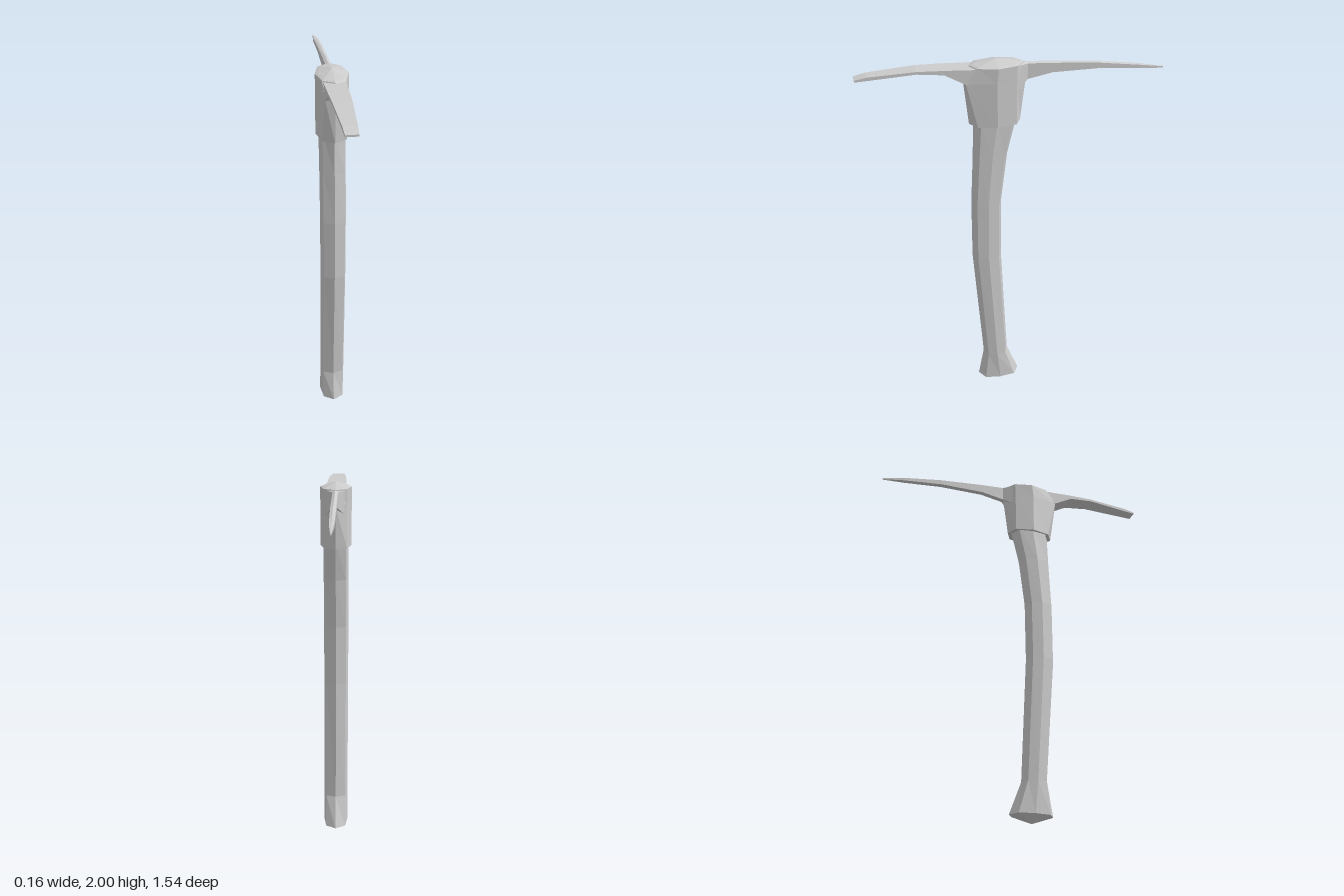
import * as THREE from 'three';

const material = new THREE.MeshStandardMaterial({ color: 0xcccccc, flatShading: true });

// Skins a list of equal-length rings of [x, y, z] points and closes both ends with fans.
function loft(name, rings, startTip, endTip) {
  const n = rings[0].length;
  const pos = [];
  const tri = (...pts) => pts.forEach((p) => pos.push(...p));
  const centre = (ring) => [0, 1, 2].map((k) => ring.reduce((s, p) => s + p[k], 0) / n);
  const first = rings[0];
  const last = rings[rings.length - 1];
  const a = startTip || centre(first);
  const b = endTip || centre(last);
  for (let i = 0; i < n; i++) {
    const j = (i + 1) % n;
    tri(a, first[j], first[i]);
    for (let r = 0; r + 1 < rings.length; r++) {
      const lo = rings[r];
      const hi = rings[r + 1];
      tri(lo[i], lo[j], hi[i]);
      tri(lo[j], hi[j], hi[i]);
    }
    tri(b, last[i], last[j]);
  }
  const geometry = new THREE.BufferGeometry();
  geometry.setAttribute('position', new THREE.Float32BufferAttribute(pos, 3));
  geometry.computeVertexNormals();
  const mesh = new THREE.Mesh(geometry, material);
  mesh.name = name;
  return mesh;
}

// Horizontal ring from front-to-back [x, z] points of the +x half, mirrored to -x.
function levelRing(y, half) {
  const left = half.map(([x, z]) => [x, y, z]);
  const right = half.slice(1).reverse().map(([x, z]) => [-x, y, z]);
  return [...left, ...right];
}

// Upright five-point section with a slight ridge along the top.
function bladeRing(z, bottom, top, w, ridge = 0) {
  return [[w, bottom, z], [w, top - ridge, z], [0, top, z], [-w, top - ridge, z], [-w, bottom, z]];
}

export function createModel() {
  const model = new THREE.Group();
  model.name = 'pickaxe';

  // Curved eight-sided handle: height, front z, back z
  const handleRings = [
    [0.04, 0.215, -0.02],
    [0.21, 0.183, 0.045],
    [0.89, 0.232, 0.075],
    [1.22, 0.23, 0.07],
    [1.49, 0.216, 0.036],
    [1.7, 0.208, -0.015],
  ].map(([y, front, back]) => {
    const c = (front + back) / 2;
    const h = (front - back) / 2;
    const half = [[0, front], [0.055, c + h * 0.72], [0.067, c], [0.055, c - h * 0.72], [0, back]];
    return levelRing(y, half);
  });
  model.add(loft('handle', handleRings, [0, 0, 0.1]));

  // Socket around the top of the handle, with a low pointed cap
  model.add(loft('headSocket', [
    levelRing(1.67, [[0, 0.23], [0.06, 0.195], [0.082, 0.1], [0.06, 0], [0, -0.03]]),
    levelRing(1.9, [[0, 0.25], [0.05, 0.248], [0.082, 0.1], [0.06, -0.002], [0, -0.06]]),
    levelRing(1.975, [[0, 0.222], [0.058, 0.19], [0.082, 0.092], [0.06, -0.005], [0, -0.05]]),
    levelRing(1.98, [[0, 0.208], [0.048, 0.18], [0.07, 0.092], [0.048, 0.005], [0, -0.03]]),
  ], null, [0, 2, 0.095]));

  // Flat adze blade at the front
  model.add(loft('adzeBlade', [
    bladeRing(0.17, 1.86, 1.968, 0.055),
    bladeRing(0.25, 1.9, 1.972, 0.052),
    bladeRing(0.35, 1.955, 1.977, 0.05),
    bladeRing(0.48, 1.968, 1.981, 0.045),
    bladeRing(0.71, 1.952, 1.969, 0.033),
    bladeRing(0.77, 1.948, 1.957, 0.03),
  ]));

  // Narrow pick spike at the back, tip to root
  model.add(loft('pickSpike', [
    bladeRing(-0.77, 1.878, 1.886, 0.002),
    bladeRing(-0.65, 1.89, 1.909, 0.012, 0.002),
    bladeRing(-0.43, 1.91, 1.943, 0.014, 0.005),
    bladeRing(-0.19, 1.909, 1.965, 0.014, 0.007),
    bladeRing(-0.065, 1.885, 1.972, 0.014, 0.007),
    bladeRing(0.0, 1.84, 1.975, 0.055, 0.005),
  ]));

  return model;
}
